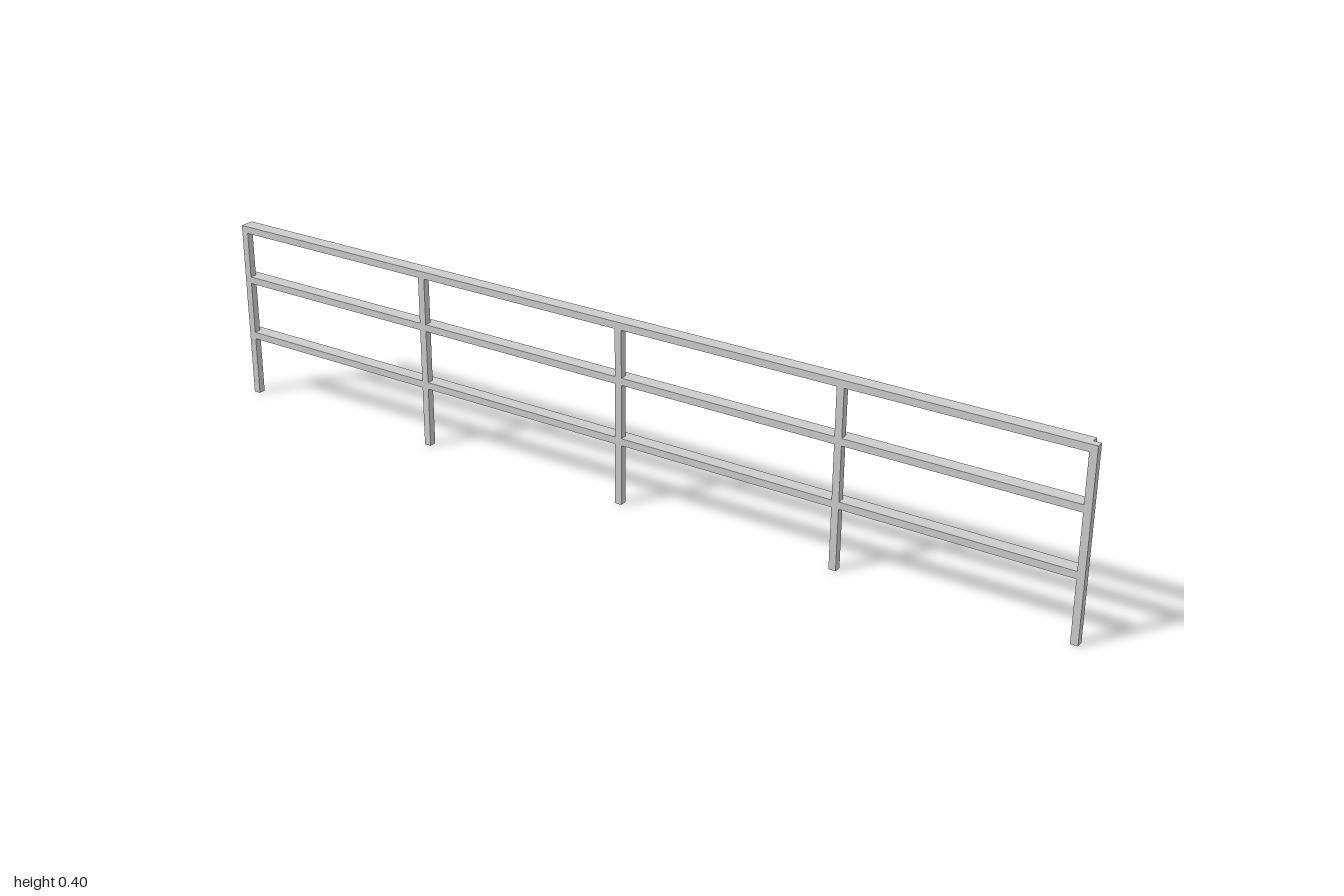
import * as THREE from 'three';

export function createModel() {
  const group = new THREE.Group();
  const metal = new THREE.MeshStandardMaterial({ color: 0xcccccc });
  metal.name = 'greyMetal';

  const T = 0.0155; // thickness of posts and of rails in height
  const H = 0.399;

  function bar(name, w, h, d, x, y, z) {
    const mesh = new THREE.Mesh(new THREE.BoxGeometry(w, h, d), metal);
    mesh.name = name;
    mesh.position.set(x, y, z);
    group.add(mesh);
  }

  // Five evenly spaced posts: four carry the top rail, the left end post stands full height
  const step = (2 - T) / 4;
  for (let i = -2; i <= 2; i++) {
    const h = i === 2 ? H : H - T;
    bar('post', T, h, T, i * step, h / 2, T / 2);
  }

  // Three rails twice as deep as the posts, butting against the left end post
  for (const y of [0.141, 0.2735, H - T / 2]) bar('rail', 2 - T, T, 2 * T, -T / 2, y, 0);

  return group;
}
